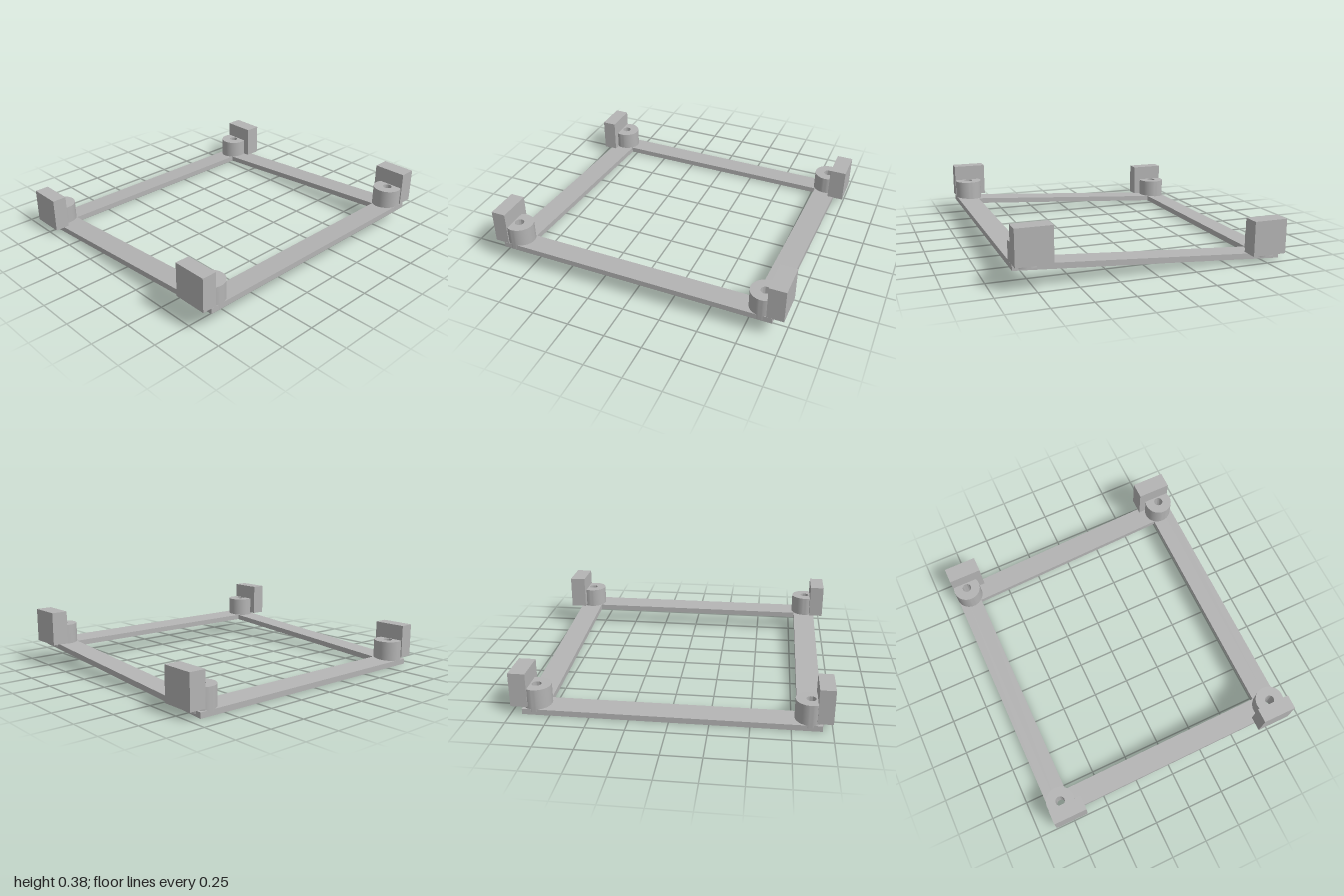
import * as THREE from 'three';
import { toCreasedNormals } from 'three/addons/utils/BufferGeometryUtils.js';

const grey = new THREE.MeshStandardMaterial({ color: 0xb4b4b4 });
grey.name = 'plain grey';

const POST_X = 0.785, POST_R = 0.095, HOLE_R = 0.031;
const FRONT_Z = 0.863, BACK_Z = -0.85;

function rect(PathType, x0, x1, y0, y1) {
  return new PathType([[x0, y0], [x1, y0], [x1, y1], [x0, y1]].map(([x, y]) => new THREE.Vector2(x, y)));
}

function hole(x, y) {
  return new THREE.Path().absarc(x, y, HOLE_R, 0, Math.PI * 2, true);
}

// Extrude a plan outline (x, -z) upwards from y = 0
function extrudeUp(shape, height) {
  const geo = new THREE.ExtrudeGeometry(shape, { depth: height, bevelEnabled: false, curveSegments: 32 });
  return geo.rotateX(-Math.PI / 2);
}

function add(parent, name, geometry, x = 0, y = 0, z = 0) {
  const mesh = new THREE.Mesh(geometry, grey);
  mesh.name = name;
  mesh.position.set(x, y, z);
  parent.add(mesh);
}

export function createModel() {
  const model = new THREE.Group();
  model.name = 'slopedBracketFrame';

  // Thin rectangular frame with four screw holes, sloping up towards +x
  const outline = rect(THREE.Shape, -0.878, 0.878, -0.938, 0.928);
  outline.holes.push(rect(THREE.Path, -0.722, 0.722, -0.785, 0.775));
  for (const x of [-POST_X, POST_X]) {
    for (const z of [FRONT_Z, BACK_Z]) outline.holes.push(hole(x, -z));
  }
  const frame = extrudeUp(outline, 0.037);
  const pos = frame.attributes.position;
  for (let i = 0; i < pos.count; i++) {
    pos.setY(i, pos.getY(i) + 0.0685 * (pos.getX(i) + 0.878));
  }
  add(model, 'slopedFrame', toCreasedNormals(frame, 0.6));

  // Hollow screw post shared by every corner
  const ring = new THREE.Shape().absarc(0, 0, POST_R, 0, Math.PI * 2, false);
  ring.holes.push(hole(0, 0));
  const post = toCreasedNormals(extrudeUp(ring, 0.153), 0.6);

  // Upright corner blocks with their posts; the +x pair sits higher
  for (const side of [-1, 1]) {
    const lift = side > 0 ? 0.107 : 0;
    for (const [end, z0, z1, postZ] of [['front', 0.903, 1, FRONT_Z], ['back', -1, -0.89, BACK_Z]]) {
      const corner = new THREE.Group();
      corner.name = end + (side > 0 ? 'Left' : 'Right') + 'Corner';
      corner.position.y = lift;
      add(corner, 'screwPost', post, side * POST_X, 0.019, postZ);
      add(corner, 'uprightBlock', new THREE.BoxGeometry(0.228, 0.227, z1 - z0), side * 0.764, 0.1645, (z0 + z1) / 2);
      model.add(corner);
    }
  }
  return model;
}
